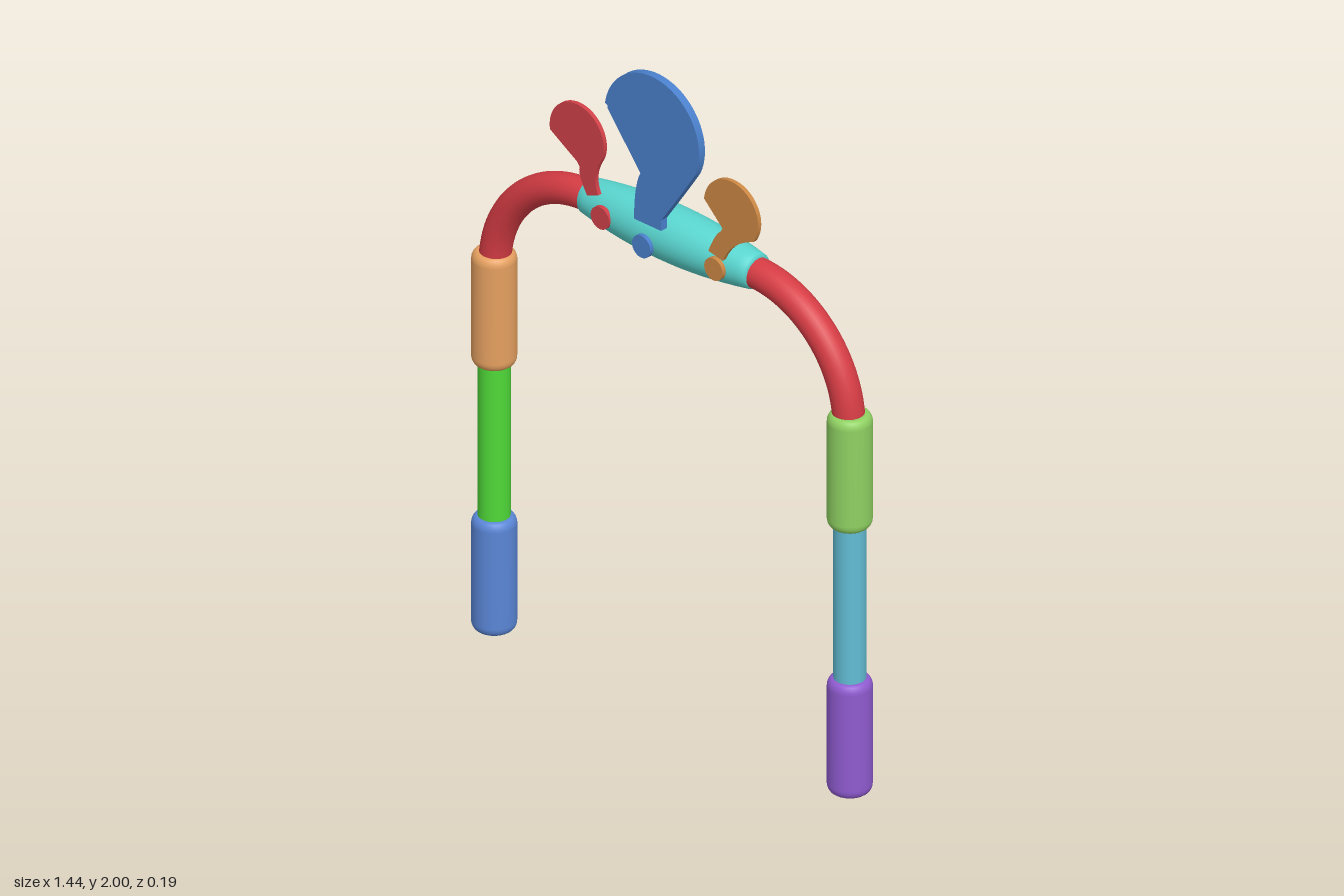
import * as THREE from 'three';

const Z = -0.015; // depth of the frame's centre plane
const LEG_X = 0.658;

const material = (color, side = THREE.FrontSide) => {
  const m = new THREE.MeshStandardMaterial({ color });
  m.side = side;
  return m;
};

function add(parent, name, geometry, color, x = 0, y = 0, z = 0) {
  const mesh = new THREE.Mesh(geometry, material(color));
  mesh.name = name;
  mesh.position.set(x, y, z);
  parent.add(mesh);
  return mesh;
}

// Closed cylinder with rounded rims, standing on its origin
function roundedCylinder(radius, height, bevel) {
  const pts = [new THREE.Vector2(0, 0)];
  for (let i = 0; i <= 5; i++) {
    const a = (i / 5) * Math.PI / 2;
    pts.push(new THREE.Vector2(radius - bevel + bevel * Math.sin(a), bevel * 1.5 * (1 - Math.cos(a))));
  }
  const top = pts.map(p => new THREE.Vector2(p.x, height - p.y)).reverse();
  return new THREE.LatheGeometry([...pts, ...top], 32);
}

// Flat plate: round head, a curved neck and a straight-edged inner side
function plate({ center, r, from, to, neck, stem, inner, depth }) {
  const rad = THREE.MathUtils.degToRad;
  const s = new THREE.Shape();
  s.absarc(center[0], center[1], r, rad(from), rad(to), true);
  s.quadraticCurveTo(...neck[0], ...neck[1]);
  stem.forEach(p => s.lineTo(...p));
  if (inner.length === 3) {
    s.quadraticCurveTo(...inner[0], ...inner[1]);
    s.lineTo(...inner[2]);
  } else inner.forEach(p => s.lineTo(...p));
  s.closePath();
  return new THREE.ExtrudeGeometry(s, { depth, bevelEnabled: false, curveSegments: 32 });
}

export function createModel() {
  const model = new THREE.Group();
  model.name = 'toyArch';

  // Legs: foot sleeve, thin post, upper sleeve
  const legs = [
    { name: 'rightLeg', side: -1, foot: 0x5a86d6, post: 0x4fd938, sleeve: 0xe5a060 },
    { name: 'leftLeg', side: 1, foot: 0x8f5bd0, post: 0x62bcd4, sleeve: 0x8fd162 },
  ];
  for (const { name, side, foot, post, sleeve } of legs) {
    const leg = new THREE.Group();
    leg.name = name;
    leg.position.set(side * LEG_X, 0, Z);
    add(leg, 'footSleeve', roundedCylinder(0.063, 0.352, 0.018), foot);
    add(leg, 'post', new THREE.CylinderGeometry(0.045, 0.045, 0.5, 32), post, 0, 0.588);
    add(leg, 'upperSleeve', roundedCylinder(0.063, 0.35, 0.018), sleeve, 0, 0.824);
    model.add(leg);

    // Curved tube from the upper sleeve to the centre body
    const path = new THREE.CurvePath();
    path.add(new THREE.LineCurve3(new THREE.Vector3(side * 0.25, 1.478, 0), new THREE.Vector3(side * 0.31, 1.478, 0)));
    const k = 0.552;
    path.add(new THREE.CubicBezierCurve3(
      new THREE.Vector3(side * 0.31, 1.478, 0),
      new THREE.Vector3(side * (0.31 + 0.345 * k), 1.478, 0),
      new THREE.Vector3(side * 0.655, 1.133 + 0.345 * k, 0),
      new THREE.Vector3(side * 0.655, 1.133, 0)));
    add(model, side < 0 ? 'rightArchTube' : 'leftArchTube',
      new THREE.TubeGeometry(path, 48, 0.045, 24), 0xd63c44, 0, 0, Z);
  }

  // Centre body: a bulging barrel lying along x
  const profile = [new THREE.Vector2(0, -0.315), new THREE.Vector2(0.042, -0.315)];
  for (let i = 0; i <= 24; i++) {
    const t = (i / 24) * 2 - 1;
    profile.push(new THREE.Vector2(0.052 + 0.028 * (1 - t * t), t * 0.308));
  }
  profile.push(new THREE.Vector2(0.042, 0.315), new THREE.Vector2(0, 0.315));
  const body = add(model, 'centreBody', new THREE.LatheGeometry(profile, 40), 0x5ad6d0, 0.004, 1.481, Z);
  body.rotation.z = -Math.PI / 2;

  // Large middle plate: simple back layer and a notched front layer
  const big = {
    center: [0, 1.825], r: 0.175, to: -25, depth: 0.012,
    neck: [[0.12, 1.69], [0.035, 1.566]],
    stem: [[0.035, 1.533], [-0.065, 1.533]],
  };
  add(model, 'middlePlateBack', plate({ ...big, from: 178, inner: [[-0.05, 1.67]] }), 0x4a80cc, 0, 0, 0.042);
  add(model, 'middlePlateFront', plate({
    ...big, from: 171, inner: [[-0.065, 1.68], [-0.02, 1.71], [0.04, 1.767], [-0.185, 1.855]].slice(0, 3),
  }), 0x4a80cc, 0, 0, 0.054);

  // Small side plates
  add(model, 'rightPlate', plate({
    center: [-0.283, 1.703], r: 0.1, from: 189, to: -25, depth: 0.013,
    neck: [[-0.23, 1.6], [-0.203, 1.55]],
    stem: [[-0.245, 1.534]],
    inner: [[-0.28, 1.59], [-0.272, 1.612], [-0.283, 1.626]],
  }), 0xd04048, 0, 0, 0.047);
  add(model, 'leftPlate', plate({
    center: [0.288, 1.682], r: 0.1, from: 175, to: -35, depth: 0.013,
    neck: [[0.288, 1.595], [0.257, 1.523]],
    stem: [[0.204, 1.534]],
    inner: [[0.228, 1.595], [0.25, 1.612], [0.256, 1.624]],
  }), 0xcc8844, 0, 0, 0.047);

  // Round buttons on the front of the body
  const buttons = [
    ['rightButton', -0.195, 1.483, 0.056, 0xd04048],
    ['middleButton', -0.012, 1.478, 0.0885, 0x4a80cc],
    ['leftButton', 0.225, 1.485, 0.056, 0xcc8844],
  ];
  for (const [name, x, y, z, color] of buttons) {
    add(model, name, new THREE.CylinderGeometry(0.034, 0.034, 0.013, 32), color, x, y, z).rotation.x = Math.PI / 2;
  }
  return model;
}
